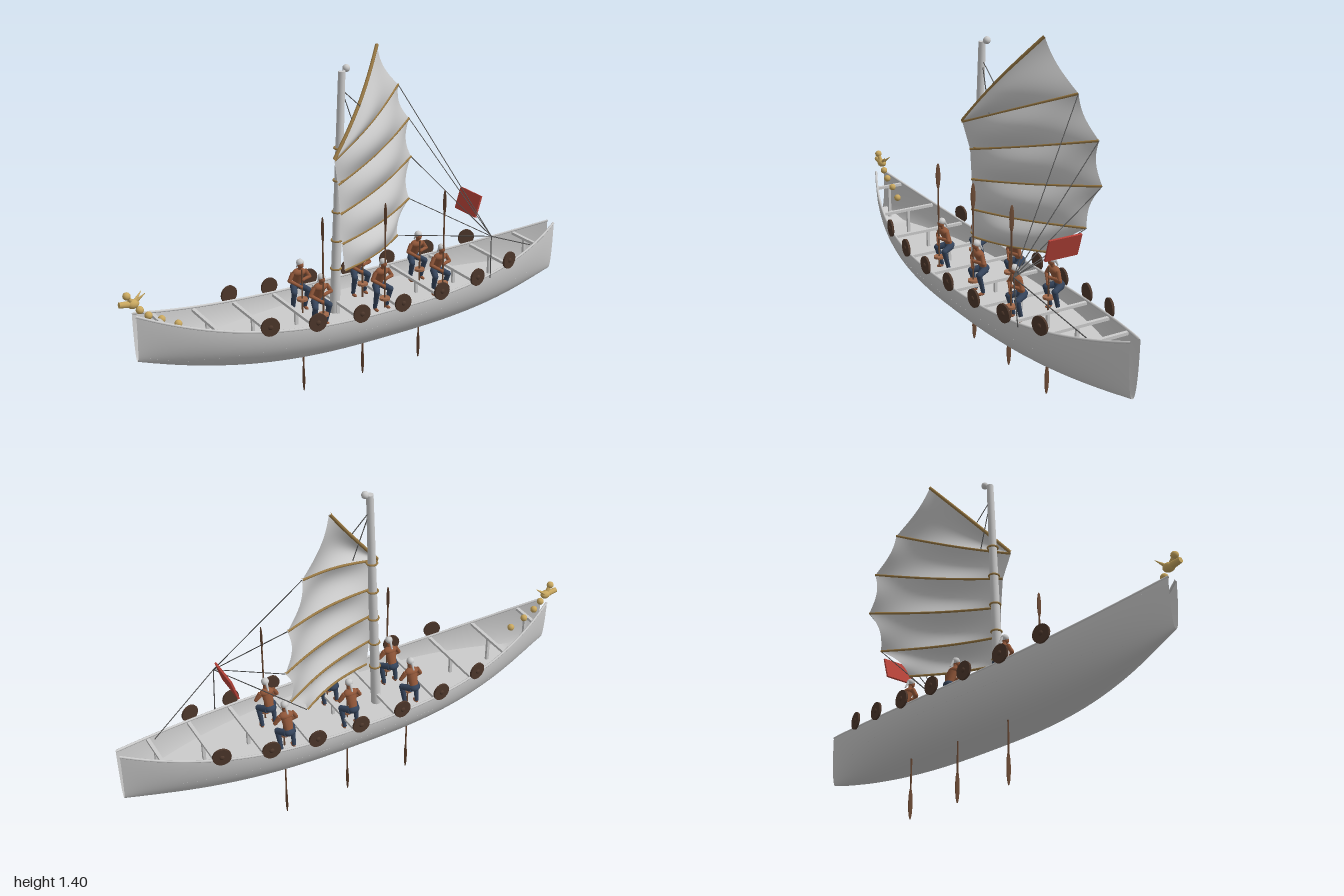
import * as THREE from 'three';
import { ParametricGeometry } from 'three/addons/geometries/ParametricGeometry.js';

const V = (x, y, z) => new THREE.Vector3(x, y, z);
const paint = (color, side = THREE.FrontSide) => new THREE.MeshStandardMaterial({ color, side });
const GREY = paint(0xcccccc), GREY2 = paint(0xcccccc, THREE.DoubleSide);
const WOOD = paint(0x6b4a35), BAMBOO = paint(0x9a7a45), GOLD = paint(0xc9a860);
const SKIN = paint(0x93583a), CLOTH = paint(0x34435a), SHIELD = paint(0x4d372b);
const RED = paint(0xb8433a), ROPE = paint(0x555555), STOOL = paint(0xa0694a);

function add(parent, name, geo, mat, pos) {
  const m = new THREE.Mesh(geo, mat);
  m.name = name;
  if (pos) m.position.copy(pos);
  parent.add(m);
  return m;
}

// Tapered rod from a to b
function rod(parent, name, a, b, r1, r2, mat, sides = 10) {
  const d = b.clone().sub(a);
  const m = add(parent, name, new THREE.CylinderGeometry(r2, r1, d.length(), sides), mat, a.clone().lerp(b, 0.5));
  m.quaternion.setFromUnitVectors(V(0, 1, 0), d.normalize());
  return m;
}

function ball(parent, name, p, r, mat, sx = 1, sy = 1, sz = 1) {
  const m = add(parent, name, new THREE.SphereGeometry(r, 16, 12), mat, p);
  m.scale.set(sx, sy, sz);
  return m;
}

// Hull lines as functions of the position x along the boat
const HALF = 0.985;
const part = (x, e) => Math.pow(Math.min(1, Math.abs(x) / HALF), e);
const beam = x => 0.022 + 0.178 * (1 - part(x, 2.6));
const sheer = x => 0.42 + (x < 0 ? 0.15 : 0.11) * part(x, 2.6);
const keel = x => 0.235 + (x < 0 ? 0.145 * part(x, 2.5) : 0.075 * part(x, 3));
const widthAt = (x, y) => {
  const c = 1 - (y - keel(x)) / (sheer(x) - keel(x));
  return beam(x) * Math.pow(Math.max(0, 1 - c * c), 0.4);
};
const deckY = x => Math.max(0.36, keel(x) + 0.15 * (sheer(x) - keel(x)));

function buildHull(boat) {
  add(boat, 'hull', new ParametricGeometry((u, v, t) => {
    const x = (u * 2 - 1) * HALF, a = (v - 0.5) * Math.PI, s = Math.sin(a);
    t.set(x, keel(x) + (sheer(x) - keel(x)) * (1 - Math.cos(a)),
      Math.sign(s) * Math.pow(Math.abs(s), 0.8) * beam(x));
  }, 64, 32), GREY2);

  add(boat, 'deck', new ParametricGeometry((u, v, t) => {
    const x = -0.96 + u * 1.8;
    t.set(x, deckY(x), (1 - v * 2) * widthAt(x, deckY(x)));
  }, 48, 2), GREY2);

  // Gunwales and shields on both sides
  for (const side of [-1, 1]) {
    const pts = [];
    for (let i = 0; i <= 24; i++) {
      const x = (i / 12 - 1) * HALF;
      pts.push(V(x, sheer(x), side * (beam(x) - 0.003)));
    }
    add(boat, 'gunwale', new THREE.TubeGeometry(new THREE.CatmullRomCurve3(pts), 80, 0.005, 8), GREY);
    for (let i = 0; i < 7; i++) {
      const x = -0.52 + i * 0.192;
      const g = new THREE.Group();
      g.name = 'shield';
      g.position.set(x, sheer(x) + 0.024, side * (beam(x) + 0.008));
      g.rotation.y = -side * Math.atan((beam(x + 0.01) - beam(x - 0.01)) / 0.02);
      add(g, 'shieldDisc', new THREE.CylinderGeometry(0.037, 0.037, 0.009, 28), SHIELD).rotation.x = Math.PI / 2;
      ball(g, 'shieldBoss', V(0, 0, side * 0.004), 0.01, SHIELD, 1, 1, 0.6);
      boat.add(g);
    }
  }

  // Crossbeams, each on a short post
  for (let i = 0; i < 10; i++) {
    const x = -0.89 + i * 0.192, y = sheer(x) - 0.012;
    add(boat, 'crossbeam', new THREE.BoxGeometry(0.014, 0.012, 2 * beam(x) - 0.006), GREY, V(x, y, 0));
    const h = y - deckY(x);
    add(boat, 'beamPost', new THREE.BoxGeometry(0.012, h, 0.012), GREY, V(x, y - h / 2, 0));
  }
}

// Crouching rower whose paddle stands on the group's origin
function buildRower(bladeUp) {
  const g = new THREE.Group();
  g.name = 'rower';
  const hip = V(0, 0.465, -0.05), chest = V(0, 0.525, -0.026);
  const torso = rod(g, 'torso', hip, chest, 0.017, 0.024, SKIN, 12);
  torso.scale.z = 0.75;
  ball(g, 'shoulders', V(0, 0.53, -0.024), 0.026, SKIN, 1.15, 0.65, 0.75);
  ball(g, 'hips', hip, 0.021, CLOTH, 1.1, 0.8, 1);
  rod(g, 'neck', chest, V(0, 0.56, -0.014), 0.008, 0.008, SKIN);
  ball(g, 'head', V(0, 0.568, -0.01), 0.014, SKIN, 0.9, 1.15, 1);
  ball(g, 'headscarf', V(0, 0.576, -0.014), 0.0155, GREY, 1, 0.95, 1.05);
  rod(g, 'scarfTail', V(0, 0.574, -0.026), V(0, 0.545, -0.042), 0.006, 0.003, GREY);
  for (const s of [-1, 1]) {
    const elbow = V(s * 0.046, 0.503, -0.02), hand = V(s * 0.005, s > 0 ? 0.505 : 0.475, 0);
    rod(g, 'upperArm', V(s * 0.028, 0.533, -0.024), elbow, 0.009, 0.008, SKIN);
    ball(g, 'elbow', elbow, 0.008, SKIN);
    rod(g, 'forearm', elbow, hand, 0.008, 0.006, SKIN);
    ball(g, 'hand', hand, 0.008, SKIN);
    const knee = V(s * 0.032, 0.452, -0.008), foot = V(s * 0.028, 0.372, -0.03);
    rod(g, 'thigh', V(s * 0.012, 0.462, -0.05), knee, 0.015, 0.012, CLOTH);
    ball(g, 'knee', knee, 0.0125, CLOTH);
    rod(g, 'shin', knee, foot, 0.012, 0.008, CLOTH);
    ball(g, 'foot', V(s * 0.028, 0.367, -0.02), 0.009, SKIN, 0.8, 0.7, 1.8);
  }
  add(g, 'paddleRing', new THREE.CylinderGeometry(0.022, 0.022, 0.009, 20), STOOL, V(0, 0.42, 0));
  const [from, to, mid] = bladeUp ? [0.38, 0.74, 0.775] : [0.55, 0.11, 0.065];
  rod(g, 'paddleShaft', V(0, from, 0), V(0, to, 0), 0.0035, 0.0035, WOOD, 8);
  ball(g, 'paddleBlade', V(0, mid, 0), 0.06, WOOD, 0.05, bladeUp ? 0.92 : 1.08, 0.18);
  return g;
}

// Battens from the bottom up: luff end, leech end
const BATTENS = [
  [V(-0.075, 0.545, -0.015), V(0.31, 0.565, -0.115)],
  [V(-0.085, 0.66, -0.02), V(0.425, 0.69, -0.165)],
  [V(-0.09, 0.785, -0.025), V(0.467, 0.862, -0.2)],
  [V(-0.1, 0.91, -0.025), V(0.447, 1.037, -0.195)],
  [V(-0.13, 1.02, -0.01), V(0.357, 1.204, -0.17)],
  [V(-0.13, 1.025, -0.01), V(0.205, 1.4, -0.135)],
];

function buildSail(root) {
  const sail = new THREE.Group();
  sail.name = 'sail';
  // Battens bow gently toward the front
  const onBatten = (i, u) => {
    const p = BATTENS[i][0].clone().lerp(BATTENS[i][1], u);
    p.z += 0.022 * Math.sin(Math.PI * u);
    return p;
  };
  for (let i = 0; i < 5; i++) {
    add(sail, 'sailPanel', new ParametricGeometry((u, v, t) => {
      const puff = Math.sin(Math.PI * v);
      t.copy(onBatten(i, u)).lerp(onBatten(i + 1, u), v);
      t.x -= 0.025 * puff * Math.pow(u, 4);
      t.z += 0.03 * puff * Math.sin(Math.PI * u);
    }, 24, 14), GREY2);
  }
  BATTENS.forEach((b, i) => {
    const pts = [0, 0.25, 0.5, 0.75, 1].map(u => onBatten(i, u));
    add(sail, i === 5 ? 'yard' : 'batten',
      new THREE.TubeGeometry(new THREE.CatmullRomCurve3(pts), 20, i === 5 ? 0.007 : 0.005, 8), BAMBOO);
  });
  root.add(sail);

  // Mast with a ball at the top and lashings at the battens
  const foot = V(-0.1, 0.36, -0.05), top = V(-0.055, 1.35, -0.05);
  rod(root, 'mast', foot, top, 0.021, 0.014, GREY, 20);
  rod(root, 'mastPin', top.clone().add(V(0, -0.01, 0)), V(-0.03, 1.358, -0.053), 0.006, 0.006, GREY);
  ball(root, 'mastBall', V(-0.03, 1.358, -0.053), 0.015, GREY);
  for (const y of [0.55, 0.67, 0.79, 0.92, 1.05]) {
    const p = foot.clone().lerp(top, (y - foot.y) / (top.y - foot.y));
    add(root, 'lashing', new THREE.TorusGeometry(0.021, 0.004, 6, 20), BAMBOO, p).rotation.x = Math.PI / 2;
  }

  // Sheets gather at one point and run down to the hull
  const knot = V(0.485, 0.625, 0.26);
  for (let i = 0; i < 5; i++) rod(root, 'sheet', BATTENS[i][1], knot, 0.0018, 0.0018, ROPE, 6);
  for (const end of [V(0.81, 0.48, 0.2), V(0.5, 0.43, 0.25)])
    rod(root, 'sheetTail', knot, end, 0.0022, 0.0022, ROPE, 6);
  rod(root, 'halyard', V(-0.057, 1.28, -0.05), V(0.03, 1.2, -0.04), 0.002, 0.002, ROPE, 6);
  rod(root, 'halyard', V(-0.057, 1.28, -0.05), V(0.01, 1.08, -0.03), 0.002, 0.002, ROPE, 6);
}

// Carved bird-like head on a neck of beads
function buildFigurehead(root) {
  const g = new THREE.Group();
  g.name = 'figurehead';
  const beads = [V(-0.78, 0.49, -0.155), V(-0.84, 0.522, -0.172), V(-0.89, 0.55, -0.18), V(-0.922, 0.58, -0.185)];
  beads.forEach(p => ball(g, 'neckBead', p, 0.015, GOLD));
  const skull = V(-0.945, 0.61, -0.19);
  ball(g, 'skull', skull, 0.02, GOLD, 1.2, 0.9, 0.9);
  rod(g, 'snout', skull, V(-0.998, 0.617, -0.2), 0.014, 0.011, GOLD, 12);
  ball(g, 'crest', V(-0.97, 0.648, -0.19), 0.015, GOLD);
  rod(g, 'crestStem', skull, V(-0.97, 0.648, -0.19), 0.008, 0.008, GOLD);
  for (const s of [-1, 1])
    rod(g, 'horn', skull, V(-0.9, 0.645, -0.19 + s * 0.014), 0.009, 0.001, GOLD);
  root.add(g);
}

export function createModel() {
  const root = new THREE.Group();
  root.name = 'sailingCanoe';

  // The boat lies at a slight angle to the x axis
  const boat = new THREE.Group();
  boat.name = 'boat';
  boat.position.set(0.02, 0, -0.01);
  boat.rotation.y = -Math.PI / 18;
  root.add(boat);
  buildHull(boat);

  // Two rows of rowers, one with paddles raised
  for (let i = 0; i < 3; i++) {
    for (const up of [true, false]) {
      const r = buildRower(up);
      r.position.set(-0.24 + i * 0.287, 0, up ? 0.089 : -0.08);
      boat.add(r);
    }
  }

  // Leaning banner near the stern
  add(boat, 'banner', new THREE.BoxGeometry(0.008, 0.094, 0.142), RED, V(0.53, 0.709, -0.01)).rotation.z = -0.3;

  buildSail(root);
  buildFigurehead(root);
  return root;
}
